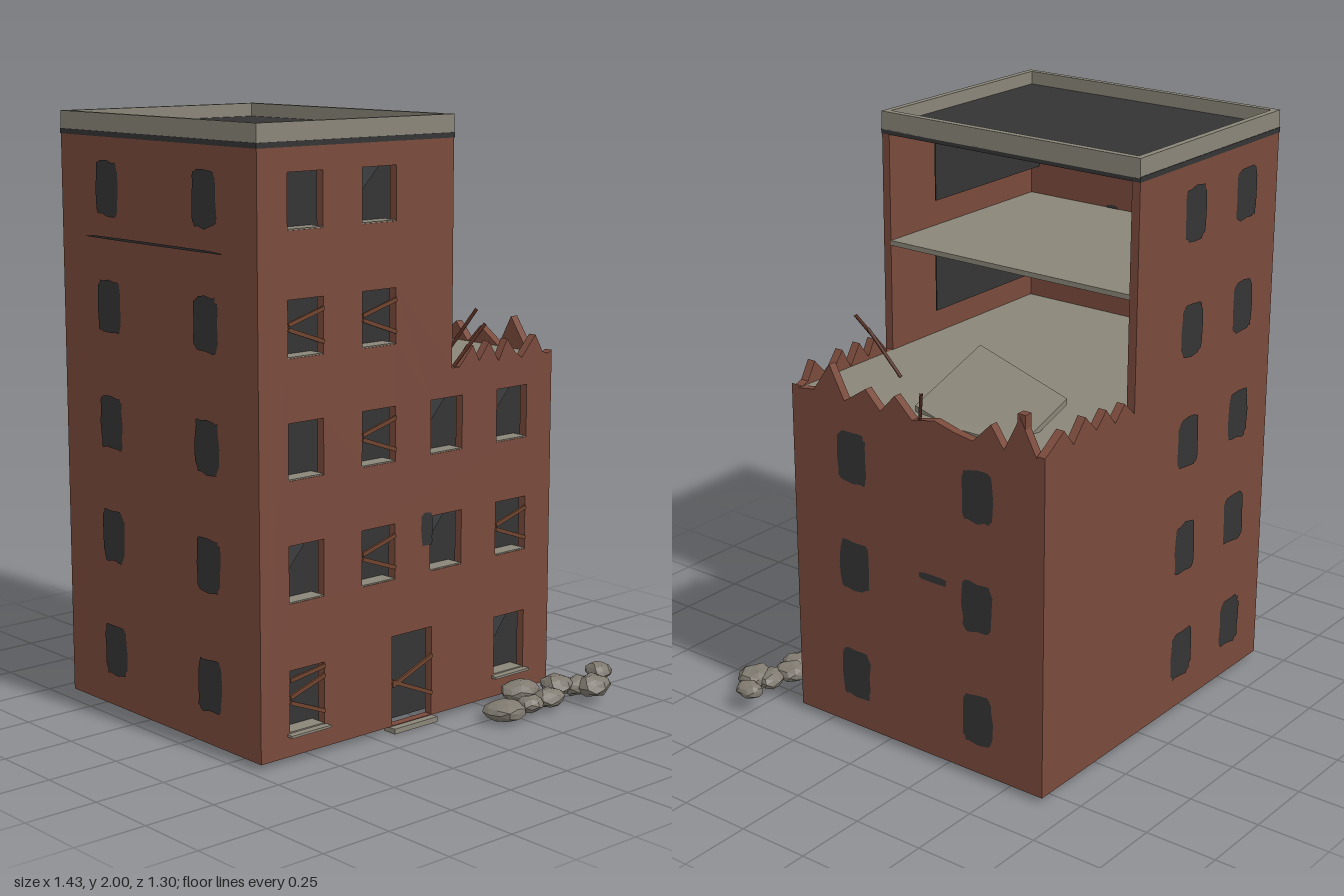
import * as THREE from 'three';

const mat = (name, color, side = THREE.FrontSide) => {
  const m = new THREE.MeshStandardMaterial({ color, side });
  m.name = name;
  return m;
};

export function createModel() {
  const root = new THREE.Group();
  root.name = 'ruinedBuilding';
  const brick = mat('brick', 0x7a4a3c);
  const concrete = mat('concrete', 0x8a8578);
  const dark = mat('sootDark', 0x343434, THREE.DoubleSide);
  const glass = mat('brokenGlass', 0x3b3d3f, THREE.DoubleSide);
  const wood = mat('plankWood', 0x70442f);
  const rust = mat('rustyRebar', 0x5a3024);
  const rock = mat('rubbleStone', 0x807a70);
  rock.flatShading = true;

  let seed = 7;
  const rnd = () => (seed = (seed * 16807) % 2147483647) / 2147483647;
  const add = (name, geo, material, parent = root) => {
    const m = new THREE.Mesh(geo, material);
    m.name = name;
    parent.add(m);
    return m;
  };
  // box given by its minimum and maximum corners
  const box = (name, x0, x1, y0, y1, z0, z1, material) => {
    const m = add(name, new THREE.BoxGeometry(x1 - x0, y1 - y0, z1 - z0), material);
    m.position.set((x0 + x1) / 2, (y0 + y1) / 2, (z0 + z1) / 2);
    return m;
  };
  const shapeOf = (pts) => new THREE.Shape(pts.map(([x, y]) => new THREE.Vector2(x, y)));
  const extrude = (shape, depth) => new THREE.ExtrudeGeometry(shape, { depth, bevelEnabled: false });

  // main dimensions
  const L = -0.715, R = 0.565, T = 0.095, B = -0.645, F = 0.375, W = 0.03, Y0 = 0.02, TOP = 1.94;

  // front wall with window and door openings
  const cols = [-0.527, -0.225, 0.073, 0.375];
  const rows = [[0.095, 0.3], [0.515, 0.7], [0.905, 1.085], [1.285, 1.465], [1.675, 1.85]];
  const openings = [];
  rows.forEach(([y0, y1], r) => cols.forEach((c, i) => {
    if ((r > 2 && i > 1) || (r === 0 && (i === 1 || i === 2))) return;
    openings.push({ x0: c - 0.071, x1: c + 0.071, y0, y1, r, i });
  }));
  const door = { x0: -0.165, x1: 0.012, y0: Y0 + 0.002, y1: 0.325, r: 0, i: 1 };
  const frontShape = shapeOf([[L, Y0], [R, Y0], [R, 1.19], [0.548, 1.18], [0.52, 1.19], [0.485, 1.25], [0.42, 1.18],
    [0.39, 1.2], [0.35, 1.25], [0.31, 1.18], [0.265, 1.25], [0.22, 1.19], [0.19, 1.245], [0.13, 1.18], [T, 1.18], [T, TOP], [L, TOP]]);
  [...openings, door].forEach((o) => frontShape.holes.push(
    shapeOf([[o.x0, o.y0], [o.x0, o.y1], [o.x1, o.y1], [o.x1, o.y0]])));
  add('frontWall', extrude(frontShape, W), brick).position.z = F - W;

  // back wall, broken above the low wing
  add('backWall', extrude(shapeOf([[L, Y0], [R, Y0], [R, 1.18], [0.53, 1.2], [0.47, 1.24], [0.42, 1.18], [0.36, 1.25],
    [0.3, 1.19], [0.25, 1.24], [0.2, 1.18], [0.15, 1.23], [T, 1.18], [T, TOP], [L, TOP]]), W), brick).position.z = B;

  // side walls, drawn with u = -z
  const sideWall = (name, pts, x) => {
    const m = add(name, extrude(shapeOf(pts), W), brick);
    m.rotation.y = Math.PI / 2;
    m.position.x = x;
  };
  const a = -F + W, b = -B - W;
  sideWall('leftWall', [[a, Y0], [b, Y0], [b, TOP], [a, TOP]], L);
  sideWall('rightWall', [[a, Y0], [b, Y0], [b, 1.17], [0.55, 1.29], [0.49, 1.17], [0.44, 1.24], [0.37, 1.17], [0.3, 1.18],
    [0.22, 1.2], [0.13, 1.18], [0.06, 1.245], [0, 1.18], [-0.06, 1.24], [-0.15, 1.18], [-0.21, 1.29], [-0.28, 1.19], [a, 1.18]], R - W);
  box('brickStub', 0.533, 0.563, 1.17, 1.3, -0.57, -0.54, brick);

  // floor slabs
  [0.39, 0.78, 1.165].forEach((y) => box('floorSlab', L + W, R - W, y, y + 0.015, B + W, F - W, concrete));
  box('upperFloorSlab', L + W, T, 1.548, 1.565, B + W, F - W, concrete);

  // roof deck with sooty edge, parapet
  box('roofDeck', L + 0.02, T - 0.02, 1.92, 1.955, B + 0.02, F - 0.02, dark);
  box('roofEdge', L - 0.002, T + 0.002, 1.925, 1.942, B - 0.002, F + 0.002, dark);
  const rim = shapeOf([[L, B], [T + 0.002, B], [T + 0.002, F], [L, F]]);
  rim.holes.push(shapeOf([[L + 0.022, B + 0.022], [L + 0.022, F - 0.022], [T - 0.022, F - 0.022], [T - 0.022, B + 0.022]]));
  const parapet = add('parapet', extrude(rim, 0.062), concrete);
  parapet.rotation.x = Math.PI / 2;
  parapet.position.y = 2;

  // dark rooms behind the openings
  rows.forEach(([y0, y1], r) => box('darkRoom', L + W, r > 2 ? -0.1 : R - W, r ? y0 - 0.01 : Y0, y1 + (r ? 0.01 : 0.03), 0.31, 0.314, dark));

  // planks nailed over an opening
  const plank = (o, ya, yb) => {
    const w = o.x1 - o.x0, h = o.y1 - o.y0;
    const m = add('plank', new THREE.BoxGeometry(Math.hypot(w, (yb - ya) * h), 0.013, 0.008), wood);
    m.position.set((o.x0 + o.x1) / 2, o.y0 + h * (ya + yb) / 2, F + 0.002);
    m.rotation.z = Math.atan2((yb - ya) * h, w);
  };
  const boarded = ['0,0', '1,1', '1,3', '2,1', '3,0', '3,1'];
  const shards = ['0,3', '1,0', '1,2', '2,2', '2,3', '4,1'];
  openings.forEach((o) => {
    const key = `${o.r},${o.i}`;
    box('windowSill', o.x0, o.x1, o.y0 - 0.001, o.y0 + 0.004, 0.315, F - 0.003, concrete);
    if (o.r === 0) box('groundSill', o.x0 - 0.01, o.x1 + 0.01, o.y0 - 0.008, o.y0, F - 0.01, F + 0.022, concrete);
    if (boarded.includes(key)) {
      plank(o, 0.58, 0.8);
      plank(o, 0.5, 0.22);
      if (o.r === 0) plank(o, 0.85, 0.95);
    }
    if (shards.includes(key)) {
      add('glassShard', new THREE.ShapeGeometry(shapeOf([[o.x0, o.y1], [o.x0, o.y0 + 0.07], [o.x1 - 0.04, o.y1]])), glass).position.z = 0.34;
    }
  });
  plank(door, 0.45, 0.68);
  plank(door, 0.5, 0.25);
  box('doorStep', -0.172, 0.02, 0, 0.018, F - 0.03, F + 0.022, concrete);

  // ragged soot patches, flat on a wall
  const patch = (name, w, h, x, y, z, ry) => {
    const pts = [];
    for (let i = 0; i < 24; i++) {
      const t = (i / 24) * Math.PI * 2, k = 0.93 + rnd() * 0.14;
      const sq = (v) => Math.sign(v) * Math.pow(Math.abs(v), 0.4);
      pts.push([sq(Math.cos(t)) * w * k / 2, sq(Math.sin(t)) * h * k / 2]);
    }
    const m = add(name, new THREE.ShapeGeometry(shapeOf(pts)), dark);
    m.position.set(x, y, z);
    m.rotation.y = ry;
  };
  [0.215, 0.61, 0.99, 1.375, 1.76].forEach((y, r) => {
    [0.122, -0.388].forEach((z) => {
      if (r < 3) patch('rightBurntWindow', 0.12, 0.175, R + 0.003, y, z, Math.PI / 2);
      patch('leftBurntWindow', 0.12, 0.175, L - 0.003, y, z, -Math.PI / 2);
    });
    [-0.22, -0.525].forEach((x) => patch('backBurntWindow', 0.12, 0.175, x, y, B - 0.003, Math.PI));
  });
  patch('frontSoot', 0.05, 0.11, -0.015, 0.66, F + 0.003, 0);
  patch('rightCrack', 0.11, 0.025, R + 0.003, 0.66, -0.21, Math.PI / 2);
  patch('leftCrack', 0.7, 0.008, L - 0.003, 1.6, -0.15, -Math.PI / 2);
  [[1.75, 0.33, 0.03], [1.55, -0.01, 0.05], [1.58, -0.37, 0.05], [1.9, -0.38, 0.06]].forEach(([y, z, s]) =>
    patch('innerSoot', s, s, L + W + 0.003, y, z, Math.PI / 2));

  // fallen roof slab, sheared into its tilt
  const slabGeo = extrude(shapeOf([[0.245, 0.15], [0.5, 0.09], [0.52, 0.3], [0.48, 0.485], [0.29, 0.525]]), 0.02);
  slabGeo.rotateX(-Math.PI / 2);
  const p = slabGeo.attributes.position;
  for (let i = 0; i < p.count; i++) {
    p.setY(i, p.getY(i) + 1.325 - 0.6 * (p.getX(i) - 0.245) + 0.15 * (p.getZ(i) + 0.15));
  }
  slabGeo.computeVertexNormals();
  add('fallenSlab', slabGeo, concrete);

  // bent rebar
  [[0.12, 1.18, 0.355, 0.205, 1.32, 0.415], [0.285, 1.18, 0.15, 0.33, 1.34, 0.25], [0.55, 1.18, -0.15, 0.602, 1.3, -0.2]].forEach((r) => {
    const s = new THREE.Vector3(...r.slice(0, 3)), e = new THREE.Vector3(...r.slice(3));
    add('rebar', new THREE.TubeGeometry(new THREE.LineCurve3(s, e), 1, 0.006, 6), rust);
  });

  // rubble heap: x, y, z, then radii
  [[0.2, 0.035, 0.535, 0.08, 0.035, 0.075], [0.335, 0.06, 0.47, 0.08, 0.035, 0.06], [0.285, 0.045, 0.565, 0.05, 0.03, 0.045],
    [0.385, 0.045, 0.56, 0.06, 0.035, 0.05], [0.475, 0.06, 0.51, 0.055, 0.035, 0.06], [0.54, 0.05, 0.545, 0.06, 0.035, 0.045],
    [0.57, 0.055, 0.59, 0.065, 0.04, 0.058], [0.675, 0.07, 0.52, 0.042, 0.03, 0.052]].forEach(([x, y, z, sx, sy, sz]) => {
    const g = new THREE.IcosahedronGeometry(1, 1);
    const q = g.attributes.position, a1 = rnd() * 6, a2 = rnd() * 6;
    for (let i = 0; i < q.count; i++) {
      const vx = q.getX(i), vy = q.getY(i), vz = q.getZ(i);
      const k = 0.95 + 0.13 * Math.sin(vx * 4 + a1) * Math.cos(vz * 5 + a2 + vy * 3);
      q.setXYZ(i, vx * k, vy * k, vz * k);
    }
    g.computeVertexNormals();
    const m = add('rubbleRock', g, rock);
    m.position.set(x, y, z);
    m.scale.set(sx, sy, sz);
  });
  return root;
}
